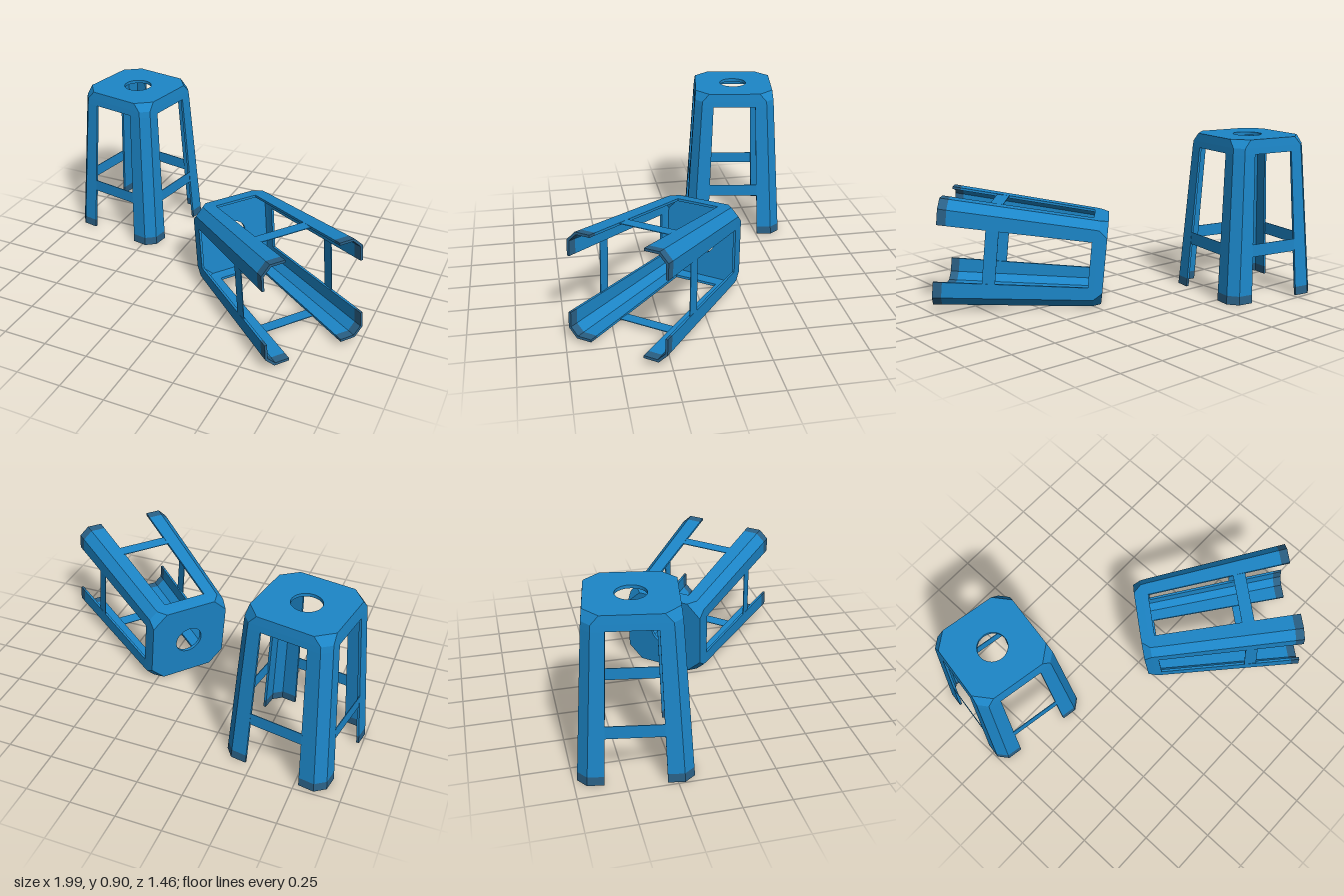
import * as THREE from 'three';

function flat(name, color) {
  const m = new THREE.MeshStandardMaterial({ color });
  m.name = name;
  return m;
}
const blue = flat('blue plastic', 0x1c86c8);
const footBlue = flat('dark foot blue', 0x2a6085);

const HEIGHT = 0.9, WALL = 0.014, LEG_TOP = 0.82, FOOT_TOP = 0.048;

function mesh(name, geometry, material = blue) {
  const m = new THREE.Mesh(geometry, material);
  m.name = name;
  return m;
}

// Flat-shaded skin over closed sections of [x, y, z] points
function loft(sections, capEnd = false) {
  const pos = [];
  const quad = (a, b, c, d) => pos.push(...a, ...b, ...c, ...a, ...c, ...d);
  for (let i = 0; i < sections.length - 1; i++) {
    const s = sections[i], t = sections[i + 1], n = s.length;
    for (let j = 0; j < n; j++) quad(s[j], s[(j + 1) % n], t[(j + 1) % n], t[j]);
  }
  if (capEnd) {
    const e = sections[sections.length - 1], n = e.length;
    for (let j = 0; j < n / 2 - 1; j++) quad(e[j], e[j + 1], e[n - 2 - j], e[n - 1 - j]);
  }
  const g = new THREE.BufferGeometry();
  g.setAttribute('position', new THREE.Float32BufferAttribute(pos, 3));
  g.computeVertexNormals();
  return g;
}

// Square with cut corners
function octagon(half, cut) {
  const k = half - cut;
  return [[half, -k], [half, k], [k, half], [-k, half], [-half, k], [-half, -k], [-k, -half], [k, -half]];
}
const ring = (y, half, cut) => octagon(half, cut).map(([x, z]) => [x, y, z]);

// Channel-shaped leg section at one corner
function legSection(y) {
  const k = y / LEG_TOP;
  const half = THREE.MathUtils.lerp(0.291, 0.239, k);
  const corner = half - THREE.MathUtils.lerp(0.05, 0.045, k);
  const edge = THREE.MathUtils.lerp(0.155, 0.125, k);
  const inHalf = half - WALL, inCorner = corner - 0.414 * WALL;
  return [
    [half, y, edge], [half, y, corner], [corner, y, half], [edge, y, half],
    [edge, y, inHalf], [inCorner, y, inHalf], [inHalf, y, inCorner], [inHalf, y, edge],
  ];
}

function createStool(name) {
  const stool = new THREE.Group();
  stool.name = name;

  // Seat plate with a round hole
  const shape = new THREE.Shape(octagon(0.231, 0.08).map(([x, z]) => new THREE.Vector2(x, z)));
  const hole = new THREE.Path();
  hole.absarc(0, 0, 0.08, 0, Math.PI * 2, true);
  shape.holes.push(hole);
  const plate = new THREE.ExtrudeGeometry(shape, { depth: 0.018, bevelEnabled: false, curveSegments: 20 });
  plate.rotateX(Math.PI / 2);
  plate.translate(0, HEIGHT, 0);
  stool.add(mesh('seat', plate));

  // Bevelled rim around the seat
  stool.add(mesh('seatRim', loft([
    ring(HEIGHT, 0.231, 0.08), ring(0.855, 0.236, 0.045), ring(LEG_TOP, 0.239, 0.045),
    ring(LEG_TOP, 0.225, 0.037), ring(0.855, 0.222, 0.037), ring(0.882, 0.218, 0.07),
  ])));

  // Four corner legs with darker feet, and four thin rungs
  const legGeometry = loft([legSection(LEG_TOP), legSection(FOOT_TOP)]);
  const footGeometry = loft([legSection(FOOT_TOP), legSection(0)], true);
  const rungGeometry = new THREE.BoxGeometry(0.296, 0.07, 0.004);
  for (let i = 0; i < 4; i++) {
    const side = new THREE.Group();
    side.name = 'side' + (i + 1);
    side.rotation.y = i * Math.PI / 2;
    const rung = mesh('rung', rungGeometry);
    rung.position.set(0, 0.292, 0.269);
    side.add(mesh('leg', legGeometry), mesh('foot', footGeometry, footBlue), rung);
    stool.add(side);
  }
  return stool;
}

export function createModel() {
  const model = new THREE.Group();
  model.name = 'stools';

  const upright = createStool('uprightStool');
  upright.position.set(-0.668, 0.005, -0.403);
  upright.rotation.y = -0.17;

  // Stool tipped on its side, feet pointing forward and to the left
  const fallen = createStool('fallenStool');
  const yAxis = new THREE.Vector3(-0.774, -0.091, -0.633).normalize();
  const xAxis = new THREE.Vector3(0.633, 0.03, -0.774);
  xAxis.addScaledVector(yAxis, -xAxis.dot(yAxis)).normalize();
  const zAxis = new THREE.Vector3().crossVectors(xAxis, yAxis);
  fallen.quaternion.setFromRotationMatrix(new THREE.Matrix4().makeBasis(xAxis, yAxis, zAxis));
  fallen.position.set(0.793, 0.324, 0.495);

  model.add(upright, fallen);
  return model;
}
